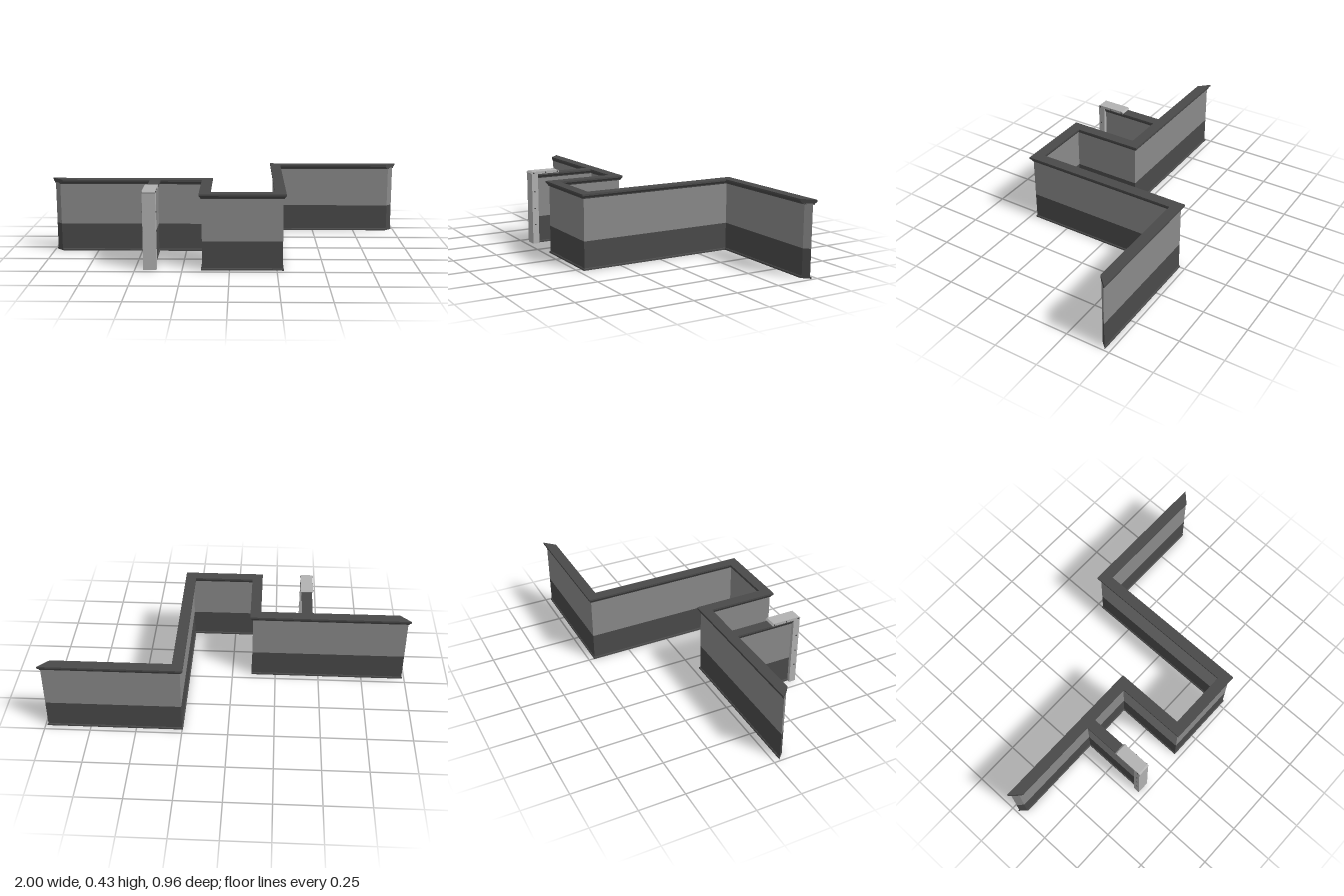
import * as THREE from 'three';

const mat = (name, color) => {
  const m = new THREE.MeshStandardMaterial({ color });
  m.name = name;
  return m;
};

// Sweeps a convex (offset, y) profile along a floor path of [x, z] points, mitring every corner.
// The first and last path points only set the angle of the end cuts.
function sweep(path, profile) {
  const normals = path.slice(1).map(([x, z], i) => {
    const dx = x - path[i][0], dz = z - path[i][1], l = Math.hypot(dx, dz);
    return [-dz / l, dx / l];
  });
  const rings = path.slice(1, -1).map(([x, z], i) => {
    const [a, b] = [normals[i], normals[i + 1]];
    const k = 1 + a[0] * b[0] + a[1] * b[1];
    const m = [(a[0] + b[0]) / k, (a[1] + b[1]) / k];
    return profile.map(([o, y]) => [x + m[0] * o, y, z + m[1] * o]);
  });
  const out = [], n = profile.length;
  const tri = (a, b, c) => out.push(...a, ...b, ...c);
  for (let i = 0; i < rings.length - 1; i++) {
    const r = rings[i], s = rings[i + 1];
    for (let j = 0; j < n; j++) {
      const k = (j + 1) % n;
      tri(r[j], s[k], r[k]);
      tri(r[j], s[j], s[k]);
    }
  }
  const first = rings[0], last = rings[rings.length - 1];
  for (let j = 1; j < n - 1; j++) {
    tri(first[0], first[j], first[j + 1]);
    tri(last[0], last[j + 1], last[j]);
  }
  const g = new THREE.BufferGeometry();
  g.setAttribute('position', new THREE.Float32BufferAttribute(out, 3));
  g.computeVertexNormals();
  return g;
}

// Symmetric profile, given bottom to top as [half width, y]
const both = (side) => [...side, ...side.map(([o, y]) => [-o, y]).reverse()];

export function createModel() {
  const model = new THREE.Group();
  const upper = mat('midGrey', 0x8a8a8a);
  const dark = mat('darkGrey', 0x4a4a4a);
  const light = mat('lightGrey', 0xb2b2b2);

  const add = (name, geometry, material, parent = model) => {
    const mesh = new THREE.Mesh(geometry, material);
    mesh.name = name;
    parent.add(mesh);
    return mesh;
  };

  // Cross-sections shared by every wall run
  const sections = [
    ['footRail', both([[0.02, 0], [0.02, 0.008], [0.016, 0.012]]), dark],
    ['lowerPanel', both([[0.015, 0.01], [0.015, 0.157]]), dark],
    ['upperPanel', both([[0.015, 0.157], [0.015, 0.39]]), upper],
    ['topRail', both([[0.02, 0.385], [0.022, 0.391], [0.03, 0.401], [0.03, 0.411]]), dark],
  ];
  const wall = (name, path) => {
    const group = new THREE.Group();
    group.name = name;
    for (const [part, profile, material] of sections) add(part, sweep(path, profile), material, group);
    model.add(group);
  };

  // Main zigzag wall, cut at 45 degrees at both ends
  wall('mainWall', [
    [-0.97, 1], [-0.97, 0.055], [-0.13, 0.055], [-0.13, 0.45],
    [0.266, 0.45], [0.266, -0.45], [0.97, -0.45], [0.97, 1],
  ]);
  // Short branch wall, square ended
  const bx = -0.42;
  wall('branchWall', [[bx, 0], [bx, 0.06], [bx, 0.44], [bx, 0.5]]);

  // Light end post with a chamfered cap plate
  const post = new THREE.Group();
  post.name = 'endPost';
  model.add(post);
  add('postSlab', new THREE.BoxGeometry(0.07, 0.414, 0.038), light, post).position.set(bx, 0.207, 0.447);
  const outline = new THREE.Shape([
    [0.296, 0.411], [0.466, 0.411], [0.47, 0.417], [0.461, 0.426], [0.301, 0.426], [0.292, 0.417],
  ].map(([z, y]) => new THREE.Vector2(-z, y)));
  const plate = new THREE.ExtrudeGeometry(outline, { depth: 0.07, bevelEnabled: false });
  plate.rotateY(Math.PI / 2);
  add('postCap', plate, light, post).position.x = bx - 0.035;

  // Small screws on both sides of the post and its cap
  const screw = new THREE.CylinderGeometry(0.004, 0.004, 0.004, 8).rotateZ(Math.PI / 2);
  for (const side of [-1, 1]) {
    for (const [y, z] of [[0.115, 0.45], [0.21, 0.45], [0.31, 0.45], [0.418, 0.305], [0.418, 0.38], [0.418, 0.455]]) {
      add('screw', screw, dark, post).position.set(bx + side * 0.036, y, z);
    }
  }
  return model;
}
